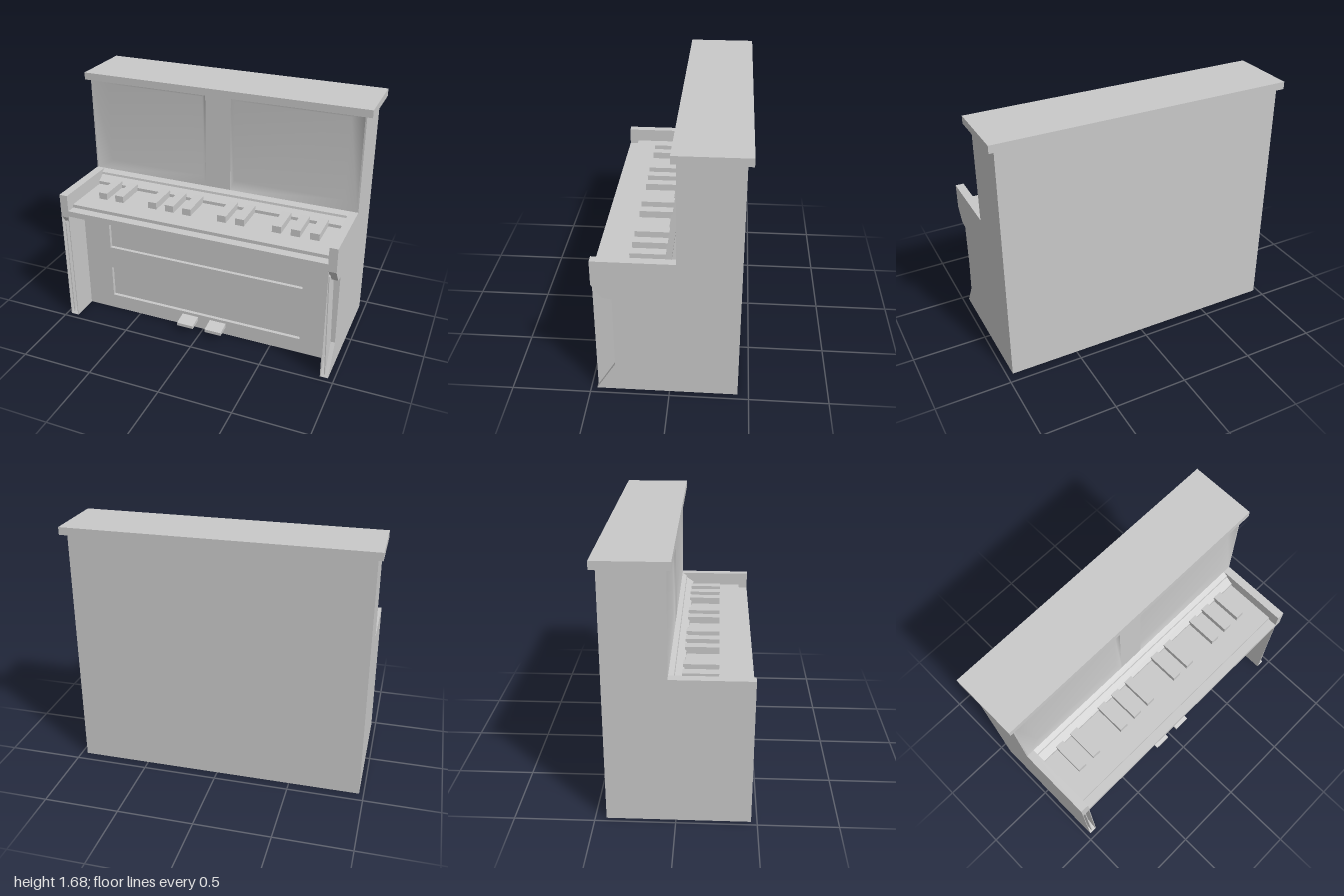
import * as THREE from 'three';

const gray = new THREE.MeshStandardMaterial({ color: 0xc9c9c9 });
gray.name = 'plain gray';

function add(parent, name, geometry) {
  const mesh = new THREE.Mesh(geometry, gray);
  mesh.name = name;
  parent.add(mesh);
  return mesh;
}

// Box given by its limits on each axis
function box(x0, x1, y0, y1, z0, z1) {
  return new THREE.BoxGeometry(x1 - x0, y1 - y0, z1 - z0)
    .translate((x0 + x1) / 2, (y0 + y1) / 2, (z0 + z1) / 2);
}

// Profile of [z, y] points swept from x0 to x1
function sweepX(points, x0, x1) {
  const shape = new THREE.Shape(points.map(([z, y]) => new THREE.Vector2(z, y)));
  return new THREE.ExtrudeGeometry(shape, { depth: x1 - x0, bevelEnabled: false })
    .rotateY(-Math.PI / 2).translate(x1, 0, 0);
}

// Soft sunken panel: sloping borders share vertices with the floor; rectangles are [x0, x1, y0, y1]
function sunkenPanel(outer, inner, zFront, zFloor) {
  const corners = ([x0, x1, y0, y1], z) => [x0, y0, z, x1, y0, z, x1, y1, z, x0, y1, z];
  const positions = [...corners(outer, zFront), ...corners(inner, zFloor)];
  const index = [4, 5, 6, 4, 6, 7];
  for (let i = 0; i < 4; i++) {
    const j = (i + 1) % 4;
    index.push(i, j, j + 4, i, j + 4, i + 4);
  }
  const geometry = new THREE.BufferGeometry();
  geometry.setAttribute('position', new THREE.Float32BufferAttribute(positions, 3));
  geometry.setIndex(index);
  geometry.computeVertexNormals();
  return geometry;
}

export function createModel() {
  const piano = new THREE.Group();
  piano.name = 'uprightPiano';

  // Side panels: full sheets, with a core cut away at the leg; the left core is open outward
  const upperEdge = [[0.463, 0.965], [-0.045, 0.965], [-0.07, 0.965], [-0.07, 1.627], [-0.43, 1.627], [-0.43, 0]];
  const fullSide = [[0.463, 0], ...upperEdge];
  const cutSide = [[0.463, 0], [0.34, 0.2], [0.34, 0.7], [0.4, 0.71], [0.463, 0.8], ...upperEdge];
  add(piano, 'rightSideOuter', sweepX(fullSide, -0.97, -0.966));
  add(piano, 'rightSideCore', sweepX(cutSide, -0.966, -0.917));
  add(piano, 'rightSideInner', sweepX(fullSide, -0.917, -0.912));
  add(piano, 'leftSideInner', sweepX(fullSide, 0.905, 0.911));
  add(piano, 'leftSideCore', sweepX(cutSide, 0.911, 0.96));

  // Thin upright fins inside the leg cut-outs
  const fin = () => new THREE.BoxGeometry(0.006, 0.74, 0.115);
  add(piano, 'rightLegFin', fin()).position.set(-0.946, 0.39, 0.4);
  const leftFin = add(piano, 'leftLegFin', fin());
  leftFin.position.set(0.924, 0.39, 0.4);
  leftFin.rotation.z = 0.026;

  // Back and lid
  add(piano, 'backPanel', box(-0.912, 0.905, 0, 1.627, -0.43, -0.4));
  add(piano, 'lid', box(-1, 1, 1.627, 1.677, -0.464, -0.017));

  // Upper front: two sunken panels between upright stiles
  const upper = new THREE.Group();
  upper.name = 'upperFront';
  piano.add(upper);
  for (const [x0, x1] of [[-0.97, -0.96], [-0.11, 0.07], [0.95, 0.96]]) {
    add(upper, 'stile', box(x0, x1, 0.965, 1.627, -0.07, -0.045));
  }
  add(upper, 'rightUpperPanel',
    sunkenPanel([-0.96, -0.11, 0.965, 1.627], [-0.85, -0.14, 1.03, 1.6], -0.045, -0.065));
  add(upper, 'leftUpperPanel',
    sunkenPanel([0.07, 0.95, 0.965, 1.627], [0.09, 0.86, 1.03, 1.6], -0.045, -0.065));

  // Keyboard: front rail, white key bed, sloping board behind and raised keys
  const keyboard = new THREE.Group();
  keyboard.name = 'keyboard';
  piano.add(keyboard);
  add(keyboard, 'keyRail', box(-0.912, 0.905, 0.81, 0.85, -0.05, 0.463));
  add(keyboard, 'whiteKeys', box(-0.912, 0.905, 0.85, 0.873, -0.05, 0.4));
  add(keyboard, 'keyBackBoard', sweepX(
    [[-0.07, 0.86], [0.04, 0.87], [0.04, 0.895], [-0.01, 0.93], [-0.013, 0.945], [-0.045, 0.965], [-0.07, 0.965]],
    -0.912, 0.905));
  for (const slot of [0, 1, 3, 4, 5, 7, 8, 10, 11, 12]) {
    const x = -0.76 + slot * 0.1265;
    add(keyboard, 'blackKey', box(x - 0.031, x + 0.031, 0.865, 0.92, 0.03, 0.25));
  }

  // Lower front: frame with two recessed panels whose backs stand proud inside
  const frame = new THREE.Shape([[-0.912, 0], [0.905, 0], [0.905, 0.81], [-0.912, 0.81]]
    .map(([x, y]) => new THREE.Vector2(x, y)));
  const lower = new THREE.Group();
  lower.name = 'lowerFront';
  piano.add(lower);
  for (const [y0, y1] of [[0.11, 0.345], [0.51, 0.75]]) {
    frame.holes.push(new THREE.Path([[-0.715, y0], [-0.715, y1], [0.705, y1], [0.705, y0]]
      .map(([x, y]) => new THREE.Vector2(x, y))));
    add(lower, 'recessedPanel', box(-0.715, 0.705, y0, y1, 0.22, 0.25));
  }
  add(lower, 'lowerFrame', new THREE.ExtrudeGeometry(frame, { depth: 0.03, bevelEnabled: false })
    .translate(0, 0, 0.245));

  // Pedals pass through the lower front
  const pedalProfile = [[0.19, 0.055], [0.27, 0.06], [0.37, 0.05], [0.37, 0.072], [0.27, 0.09], [0.19, 0.09]];
  for (const x of [-0.16, 0.05]) add(piano, 'pedal', sweepX(pedalProfile, x, x + 0.12));

  return piano;
}
